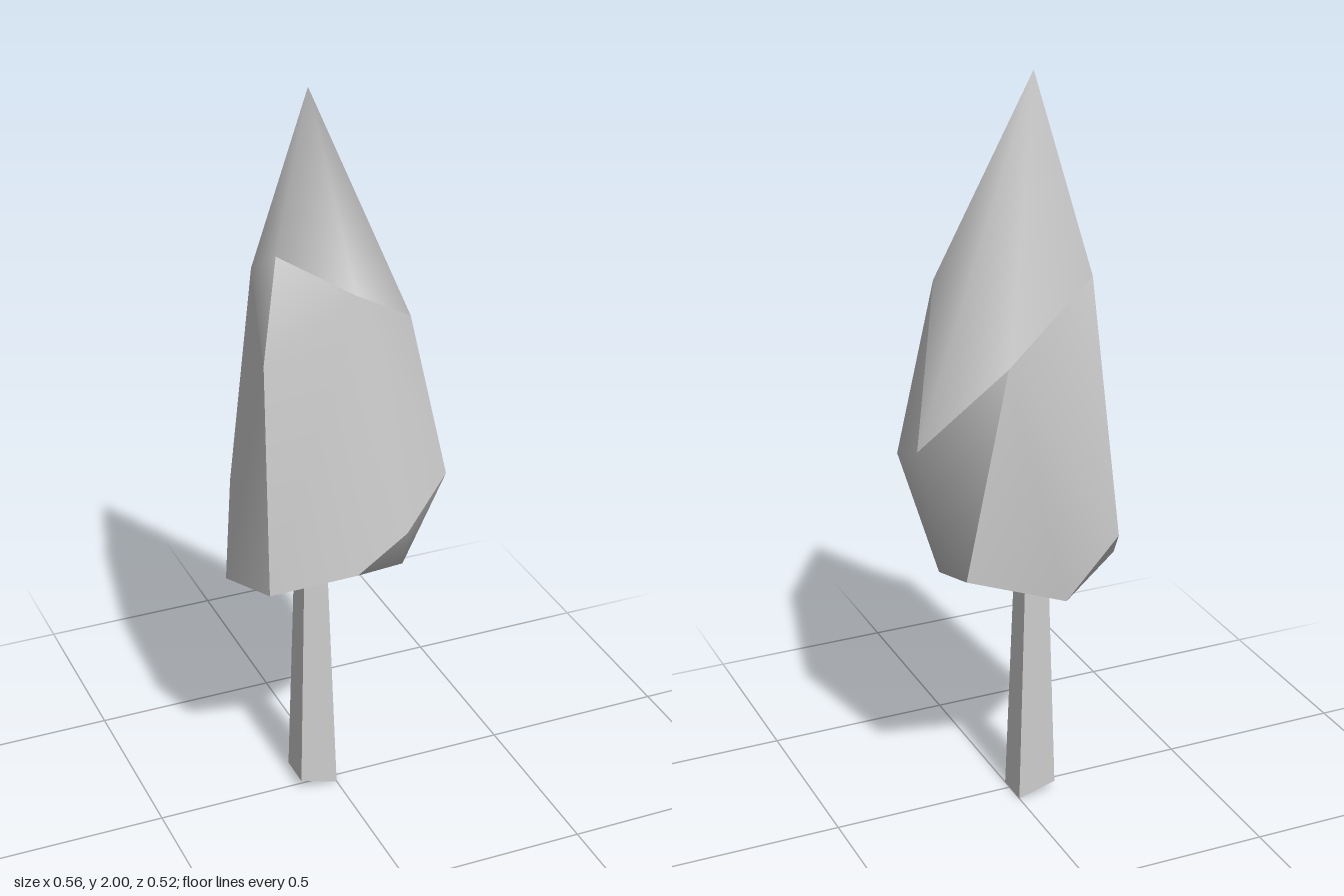
import * as THREE from 'three';

const material = new THREE.MeshStandardMaterial({ color: 0xcccccc });

// Named corners of the faceted crown
const corners = {
  A: [-0.055, 2, -0.02], // tip
  // shoulder ring
  a: [-0.17, 1.61, 0.05], b: [-0.01, 1.53, 0.175], c: [0.145, 1.44, 0.15],
  d: [0.28, 1.07, -0.06], e: [0.1, 1.32, -0.22], f: [-0.16, 1.5, -0.145],
  // front cut
  g: [-0.24, 1.37, 0.14], h: [-0.24, 0.73, 0.16], i: [-0.04, 0.8, 0.26],
  j: [0.105, 0.88, 0.24], k: [0.25, 0.98, 0.155],
  // lower rim
  l: [0.21, 0.76, -0.205], m: [-0.185, 0.84, -0.265], n: [-0.283, 0.68, -0.045],
  o: [-0.09, 0.625, -0.16], p: [0.18, 0.67, 0.05],
};

// Each part is a list of polygons, smooth inside the part and sharp at its border
const crownParts = {
  crownTop: ['Aab', 'Abc', 'Acd', 'Ade', 'Aef', 'Afa', 'fga'],
  crownSkirt: ['ckd', 'dle', 'dkpl', 'jpk', 'ipj', 'hpi', 'hop', 'hno', 'olp'],
  crownFrontFacet: ['baghijkc'],
  crownBackFacet: ['elomf'],
  crownSideFacet: ['gfmnh'],
  crownLowerNotch: ['mon'],
};

// Fans out each polygon from its first corner
function facetGeometry(polygons) {
  const names = [...new Set(polygons.join(''))];
  const index = [];
  for (const poly of polygons) {
    const ids = [...poly].map((ch) => names.indexOf(ch));
    for (let t = 1; t < ids.length - 1; t++) index.push(ids[0], ids[t], ids[t + 1]);
  }
  const geometry = new THREE.BufferGeometry();
  geometry.setAttribute('position',
    new THREE.Float32BufferAttribute(names.flatMap((name) => corners[name]), 3));
  geometry.setIndex(index);
  geometry.computeVertexNormals();
  return geometry;
}

// Square trunk, tapering upward, with a slanted foot
function trunkGeometry() {
  const geometry = new THREE.BoxGeometry(1, 1, 1);
  const pos = geometry.attributes.position;
  for (let v = 0; v < pos.count; v++) {
    const top = pos.getY(v) > 0, left = pos.getX(v) > 0, front = pos.getZ(v) > 0;
    const x = top ? (left ? -0.022 : -0.088) : (left ? 0 : -0.105);
    const z = top ? (front ? 0.018 : -0.052) : (front ? 0.03 : -0.065);
    const y = top ? 0.68 : (left ? 0 : 0.03);
    pos.setXYZ(v, x, y, z);
  }
  geometry.computeVertexNormals();
  return geometry;
}

export function createModel() {
  const tree = new THREE.Group();
  tree.name = 'tree';

  const crown = new THREE.Group();
  crown.name = 'crown';
  for (const [name, polygons] of Object.entries(crownParts)) {
    const mesh = new THREE.Mesh(facetGeometry(polygons), material);
    mesh.name = name;
    crown.add(mesh);
  }

  const trunk = new THREE.Mesh(trunkGeometry(), material);
  trunk.name = 'trunk';

  tree.add(crown, trunk);
  return tree;
}
